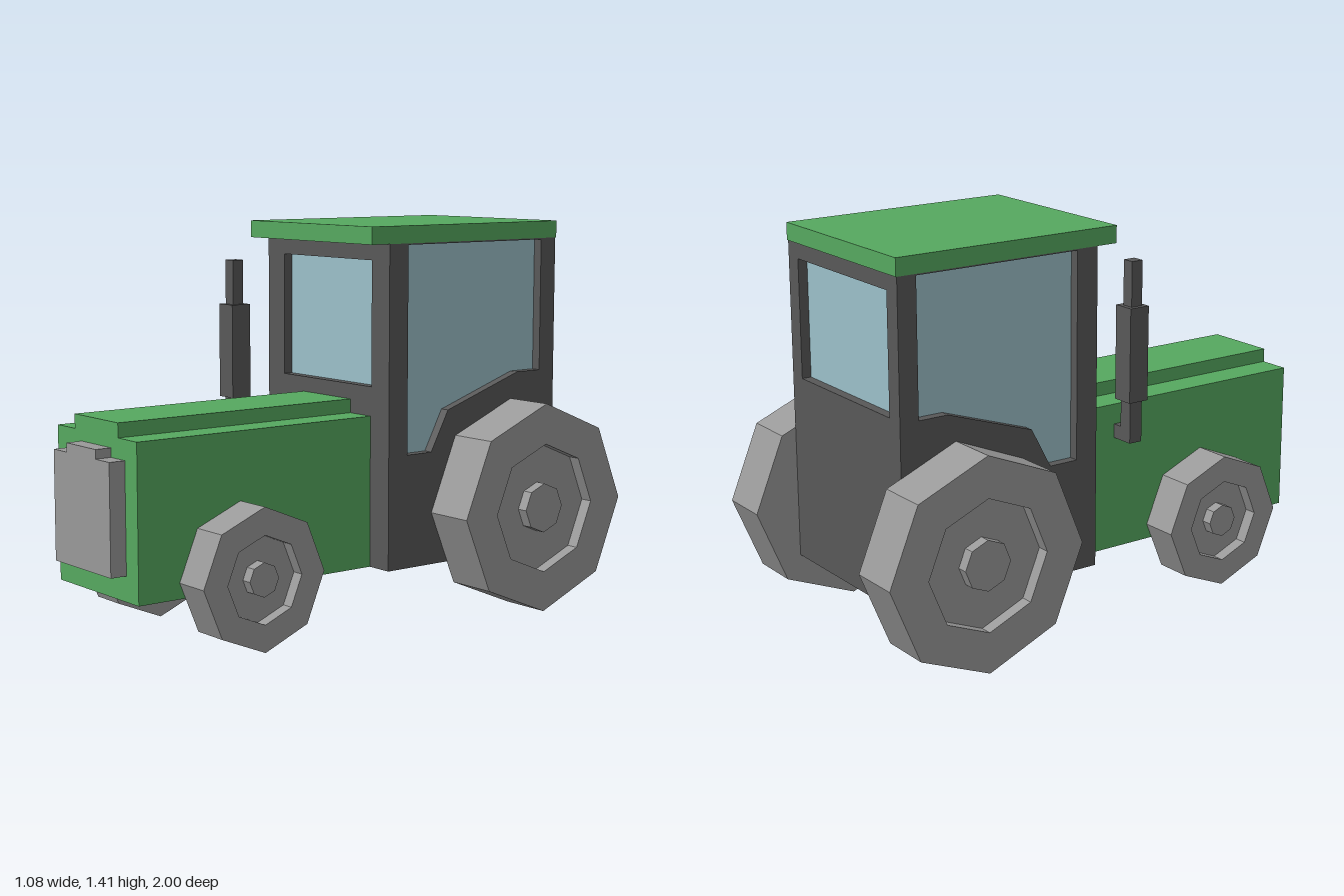
import * as THREE from 'three';

const paint = (color) => new THREE.MeshStandardMaterial({ color, flatShading: true });

export function createModel() {
  const tractor = new THREE.Group();
  tractor.name = 'tractor';
  const green = paint(0x56a85f), dark = paint(0x585858);
  const grey = paint(0x999999), glass = paint(0x9cc0c9);

  const add = (name, geometry, material, parent = tractor) => {
    const mesh = new THREE.Mesh(geometry, material);
    mesh.name = name;
    parent.add(mesh);
    return mesh;
  };
  // Box given by its limits on each axis
  const box = (name, [x0, x1], [y0, y1], [z0, z1], material, parent) => {
    const mesh = add(name, new THREE.BoxGeometry(x1 - x0, y1 - y0, z1 - z0), material, parent);
    mesh.position.set((x0 + x1) / 2, (y0 + y1) / 2, (z0 + z1) / 2);
    return mesh;
  };
  const points = (list) => list.map(([x, y]) => new THREE.Vector2(x, y));
  const rect = (x0, x1, y0, y1) => [[x0, y0], [x1, y0], [x1, y1], [x0, y1]];
  const extrude = (outline, depth, hole) => {
    const shape = new THREE.Shape(points(outline));
    if (hole) shape.holes.push(new THREE.Path(points(hole)));
    return new THREE.ExtrudeGeometry(shape, { depth, bevelEnabled: false });
  };
  // Symmetric block with a raised middle strip
  const stepped = (w, y0, y1, wTop, yTop) => [
    [-w, y0], [w, y0], [w, y1], [wTop, y1], [wTop, yTop], [-wTop, yTop], [-wTop, y1], [-w, y1],
  ];

  // Engine hood and radiator grille
  add('hood', extrude(stepped(0.25, 0.197, 0.74, 0.137, 0.79), 0.975), green).position.z = -0.035;
  add('grille', extrude(stepped(0.177, 0.285, 0.67, 0.093, 0.702), 0.06), grey).position.z = 0.94;

  // Cab: walls with window openings around an inset glass core
  const cab = new THREE.Group();
  cab.name = 'cab';
  tractor.add(cab);
  const t = 0.035, zFront = -0.035, zBack = -0.832, yLow = 0.197, yTop = 1.35;
  const panel = rect(-0.352, 0.352, yLow, yTop);
  add('frontWall', extrude(panel, t, rect(-0.255, 0.255, 0.845, 1.29)), dark, cab).position.z = zFront - t;
  add('backWall', extrude(panel, t, rect(-0.288, 0.288, 0.87, 1.295)), dark, cab).position.z = zBack;
  const sideWindow = [
    [-0.12, 0.605], [-0.12, 1.345], [-0.76, 1.345], [-0.76, 0.863],
    [-0.648, 0.863], [-0.31, 0.75], [-0.232, 0.605],
  ];
  for (const side of [1, -1]) {
    const wall = extrude(rect(zBack + t, zFront - t, yLow, yTop), t, sideWindow);
    wall.rotateY(-Math.PI / 2);
    add(side > 0 ? 'leftWall' : 'rightWall', wall, dark, cab).position.x = side > 0 ? 0.352 : -0.352 + t;
  }
  box('floor', [-0.317, 0.317], [yLow, 0.5], [zBack + t, zFront - t], dark, cab);
  box('windows', [-0.317, 0.317], [0.5, yTop], [zBack + t, zFront - t], glass, cab);
  box('roof', [-0.353, 0.353], [yTop, 1.412], [-0.836, 0.045], green, cab);

  // Exhaust stack on the right of the hood
  const exhaust = new THREE.Group();
  exhaust.name = 'exhaust';
  tractor.add(exhaust);
  box('exhaustElbow', [-0.29, -0.24], [0.615, 0.666], [0.124, 0.176], dark, exhaust);
  box('exhaustLowerPipe', [-0.34, -0.287], [0.615, 0.77], [0.124, 0.176], dark, exhaust);
  box('muffler', [-0.354, -0.272], [0.768, 1.11], [0.11, 0.19], dark, exhaust);
  box('exhaustTip', [-0.337, -0.291], [1.11, 1.272], [0.127, 0.173], dark, exhaust);

  // Eight-sided wheels with a sunken rim and a raised hub on the outer face
  const wheel = (name, side, r, rim, hub, xIn, xOut, z) => {
    const w = xOut - xIn, dip = w - 0.045;
    const profile = [[0, 0], [r, 0], [r, w], [rim, w], [rim, dip], [hub, dip], [hub, w - 0.005], [0, w - 0.005]];
    const mesh = add(name, new THREE.LatheGeometry(points(profile), 8), grey);
    mesh.rotation.z = -side * Math.PI / 2;
    mesh.position.set(side * xIn, r + 0.003, z);
  };
  for (const side of [1, -1]) {
    const label = side > 0 ? 'Left' : 'Right';
    wheel('rear' + label + 'Wheel', side, 0.382, 0.235, 0.09, 0.35, 0.54, -0.617);
    wheel('front' + label + 'Wheel', side, 0.249, 0.153, 0.06, 0.25, 0.39, 0.53);
  }
  return tractor;
}
